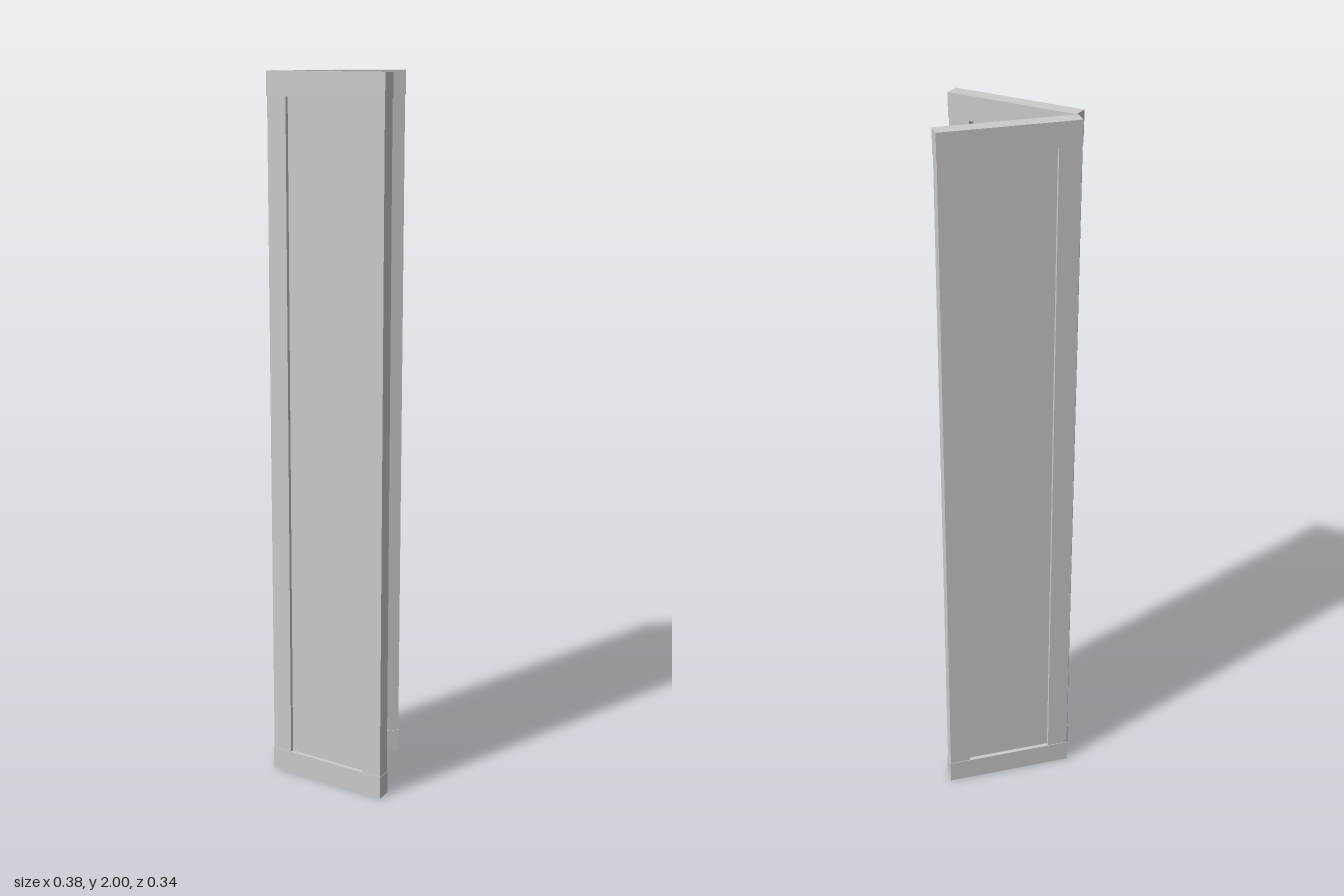
import * as THREE from 'three';

const material = new THREE.MeshStandardMaterial({ color: 0xcccccc });
const H = 2, W = 0.363, D = 0.0415;   // leaf height, width and thickness
const RAIL = 0.065, STILE = 0.06;     // frame member widths
const INSET = 0.0015;                 // stiles sit just inside the rails
const HINGE_Y = [0.245, 1.815], HINGE_H = 0.09;

function add(parent, name, geometry, x, y, z) {
  const mesh = new THREE.Mesh(geometry, material);
  mesh.name = name;
  mesh.position.set(x, y, z);
  parent.add(mesh);
  return mesh;
}

// One framed leaf; inner is the z direction of the face turned to the other leaf
function makeLeaf(name, inner) {
  const leaf = new THREE.Group();
  leaf.name = name;

  const rail = new THREE.BoxGeometry(W, RAIL, D);
  add(leaf, 'bottomRail', rail, 0, RAIL / 2, 0);
  add(leaf, 'topRail', rail, 0, H - RAIL / 2, 0);

  const stile = new THREE.BoxGeometry(STILE - INSET, H - 2 * RAIL, D - 2 * INSET);
  const stileX = W / 2 - INSET - (STILE - INSET) / 2;
  add(leaf, 'hingeStile', stile, -stileX, H / 2, 0);
  add(leaf, 'outerStile', stile, stileX, H / 2, 0);

  // Thin infill set nearer the outer face, tucked into the frame
  const infill = new THREE.BoxGeometry(W - 2 * STILE + 0.01, H - 2 * RAIL + 0.01, 0.006);
  add(leaf, 'infillPanel', infill, 0, H / 2, -inner * 0.006);

  // Hinge plates on the edge of the hinge stile
  const plate = new THREE.BoxGeometry(0.003, HINGE_H, 0.014);
  for (const y of HINGE_Y) {
    add(leaf, 'hingePlate', plate, -W / 2 + INSET - 0.0005, y, inner * (D / 2 - 0.008));
  }
  return leaf;
}

export function createModel() {
  const model = new THREE.Group();
  model.name = 'foldingScreen';

  const back = makeLeaf('backLeaf', 1);
  back.position.set(0.006, 0, -0.125);
  back.rotation.y = THREE.MathUtils.degToRad(9);

  const front = makeLeaf('frontLeaf', -1);
  front.position.set(-0.031, 0, 0.048);
  front.rotation.y = THREE.MathUtils.degToRad(-35.8);

  model.add(back, front);

  // Hinge barrels where the leaves meet
  const barrel = new THREE.CylinderGeometry(0.005, 0.005, HINGE_H, 12);
  for (const y of HINGE_Y) add(model, 'hingeBarrel', barrel, -0.169, y, -0.075);

  return model;
}
